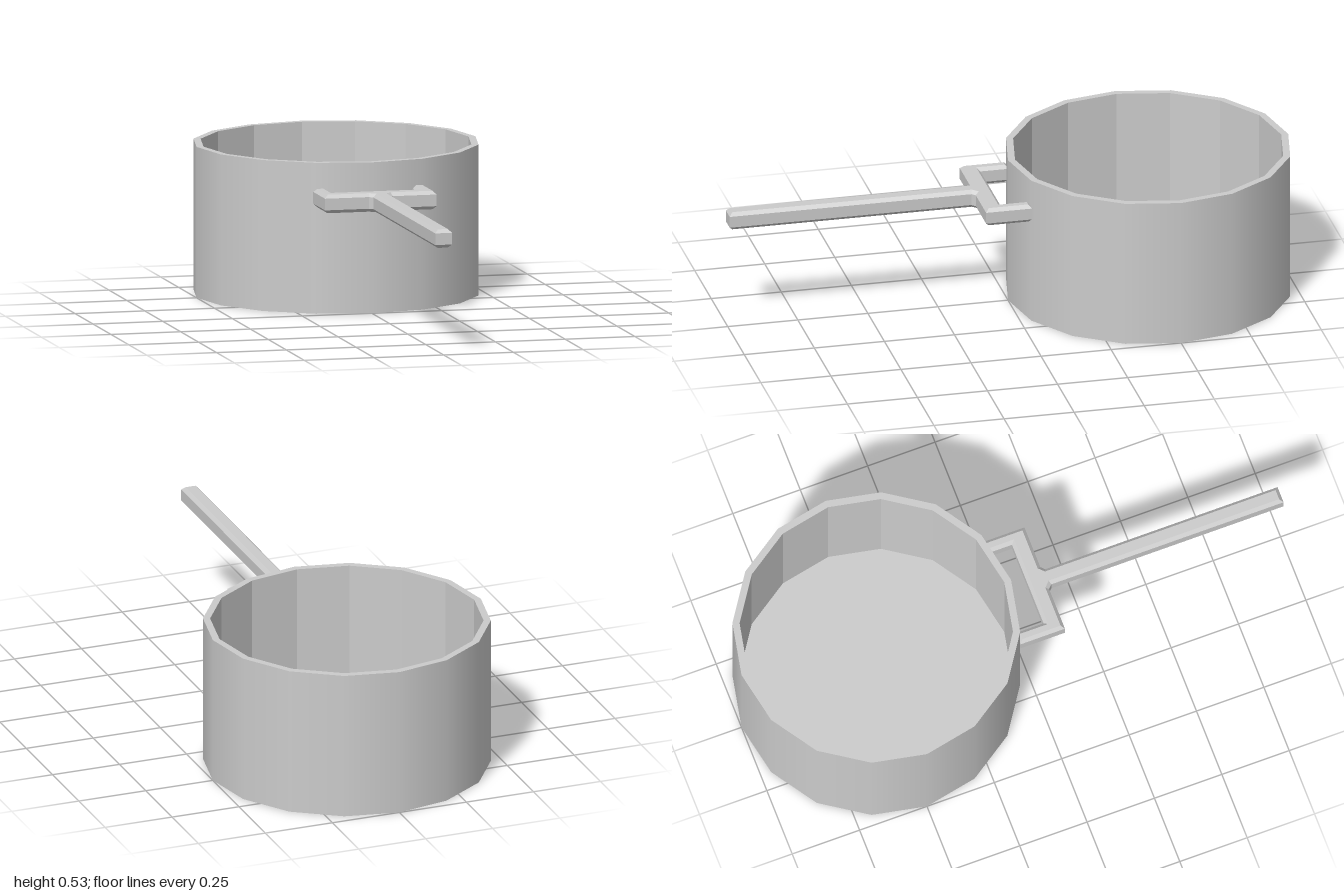
import * as THREE from 'three';

const SIDES = 16, R = 0.5, INNER = 0.475, H = 0.53, FLOOR = 0.025;

export function createModel() {
  const model = new THREE.Group();
  const smooth = new THREE.MeshStandardMaterial({ color: 0xcccccc });
  const flat = new THREE.MeshStandardMaterial({ color: 0xcccccc, flatShading: true });

  const pot = new THREE.Group();
  pot.name = 'pot';
  pot.position.z = -0.5;
  model.add(pot);

  // Each profile runs upward outside and downward inside so faces point outward
  const turn = (name, profile, material) => {
    const points = profile.map(([r, y]) => new THREE.Vector2(r, y));
    const mesh = new THREE.Mesh(new THREE.LatheGeometry(points, SIDES), material);
    mesh.name = name;
    pot.add(mesh);
  };
  turn('base', [[0, 0], [R, 0]], flat);
  turn('outerWall', [[R, 0], [R, H]], smooth);
  turn('rimAndInterior', [[R, H], [INNER, H], [INNER, FLOOR], [0, FLOOR]], flat);

  // Forked handle: half outline (x, z), mirrored, with chamfered edges
  const half = [
    [0.155, 0.062], [0.155, -0.04], [0.2, -0.04], [0.2, 0.125],
    [0.043, 0.125], [0.03, 0.138], [0.03, 1],
  ];
  const mirrored = half.map(([x, z]) => [-x, z]).reverse();
  const outline = [...half, ...mirrored].map(([x, z]) => new THREE.Vector2(x, z));
  const bevel = 0.012, top = 0.44, bottom = 0.375;
  const handleGeometry = new THREE.ExtrudeGeometry(new THREE.Shape(outline), {
    depth: top - bottom - 2 * bevel,
    bevelEnabled: true, bevelSegments: 1,
    bevelThickness: bevel, bevelSize: bevel, bevelOffset: -bevel,
  });
  handleGeometry.rotateX(Math.PI / 2);
  handleGeometry.translate(0, top - bevel, 0);
  const handle = new THREE.Mesh(handleGeometry, flat);
  handle.name = 'handle';
  model.add(handle);

  return model;
}
